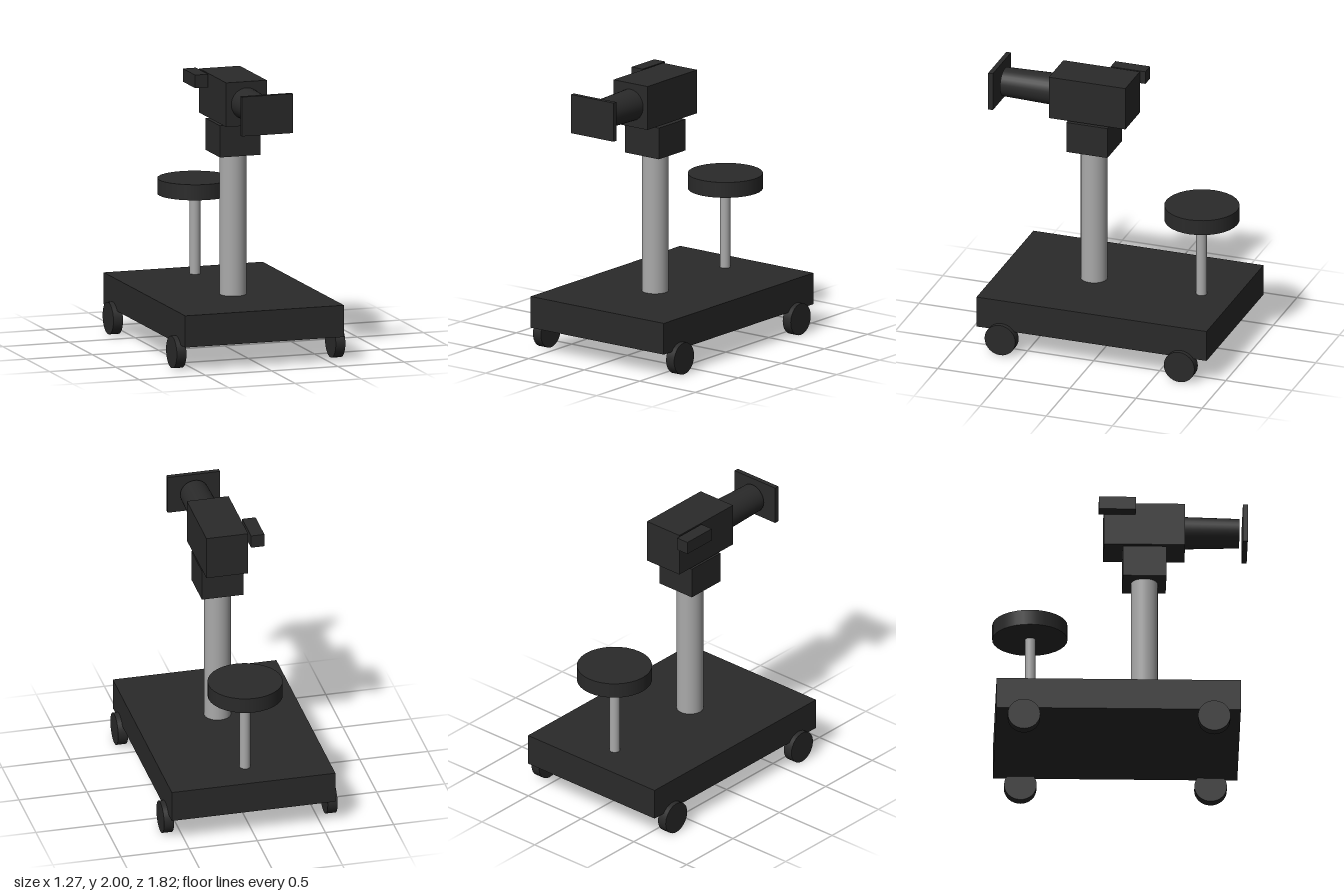
import * as THREE from 'three';

export function createModel() {
  const group = new THREE.Group();
  const black = new THREE.MeshStandardMaterial({ color: 0x2a2a2a });
  black.name = 'matte black';
  const steel = new THREE.MeshStandardMaterial({ color: 0xaaaaaa });
  steel.name = 'steel grey';

  const add = (name, geometry, material, x, y, z) => {
    const mesh = new THREE.Mesh(geometry, material);
    mesh.name = name;
    mesh.position.set(x, y, z);
    group.add(mesh);
    return mesh;
  };
  // Box given by its extents along each axis
  const box = (name, [x0, x1], [y0, y1], [z0, z1]) =>
    add(name, new THREE.BoxGeometry(x1 - x0, y1 - y0, z1 - z0), black,
      (x0 + x1) / 2, (y0 + y1) / 2, (z0 + z1) / 2);
  // Upright cylinder between two heights
  const post = (name, radius, y0, y1, z, material) =>
    add(name, new THREE.CylinderGeometry(radius, radius, y1 - y0, 32), material, 0, (y0 + y1) / 2, z);

  // Rolling platform
  box('platform', [-0.6, 0.6], [0.18, 0.41], [-0.89, 0.85]);
  for (const [side, x] of [['left', 0.6], ['right', -0.6]]) {
    for (const [end, z] of [['Front', 0.66], ['Back', -0.695]]) {
      const wheel = new THREE.CylinderGeometry(0.116, 0.116, 0.072, 32).rotateZ(Math.PI / 2);
      add(`${side}${end}Wheel`, wheel, black, x, 0.116, z);
    }
  }

  // Column and swivel head
  post('column', 0.096, 0.4, 1.44, 0.175, steel);
  box('swivelHead', [-0.153, 0.153], [1.435, 1.665], [0.02, 0.33]);

  // Camera
  box('cameraBody', [-0.153, 0.153], [1.68, 2], [-0.115, 0.463]);
  box('viewfinder', [-0.263, -0.165], [1.905, 2], [-0.153, 0.11]);
  const lens = new THREE.CylinderGeometry(0.105, 0.115, 0.39, 32).rotateX(Math.PI / 2);
  add('lens', lens, black, 0, 1.84, 0.655);
  box('lensHood', [-0.192, 0.192], [1.695, 1.98], [0.873, 0.908]);

  // Operator seat
  post('seatPost', 0.038, 0.4, 1, -0.637, steel);
  post('seat', 0.268, 0.99, 1.103, -0.64, black);

  return group;
}
